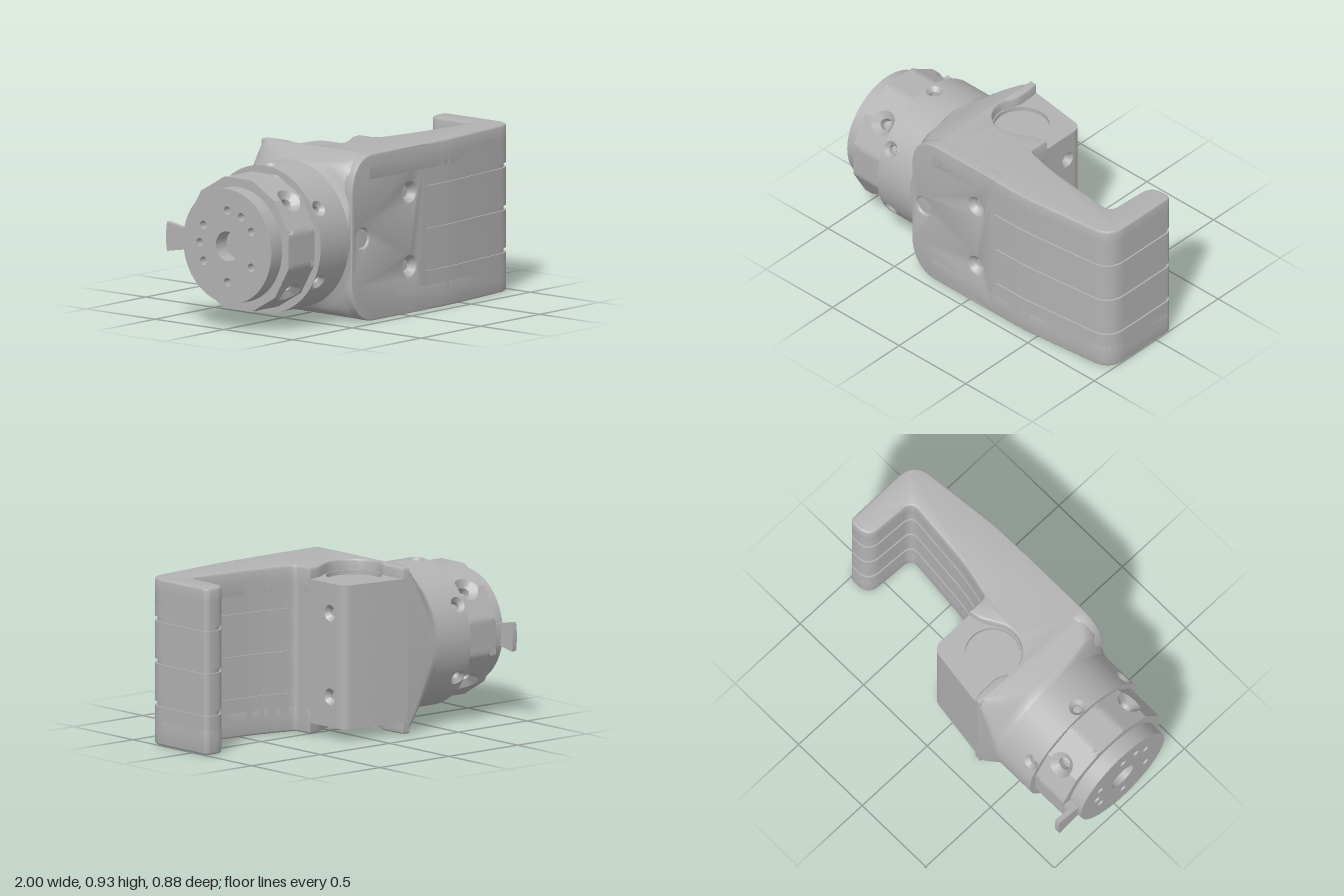
import * as THREE from 'three';
import { toCreasedNormals } from 'three/addons/utils/BufferGeometryUtils.js';

const CY = 0.467, CZ = 0.025; // axis of the round mount
const FRONT = 0.437, HEIGHT = 0.932;

export function createModel() {
  const group = new THREE.Group();
  const grey = new THREE.MeshStandardMaterial({ color: 0xb2b2b2, side: THREE.DoubleSide });
  grey.name = 'bodyGrey';

  const add = (name, geometry, crease = 0.6) => {
    const mesh = new THREE.Mesh(crease ? toCreasedNormals(geometry, crease) : geometry, grey);
    mesh.name = name;
    group.add(mesh);
    return mesh;
  };

  // Closed outline with corners [x, y, radius]
  function outline(points) {
    const shape = new THREE.Shape();
    const n = points.length;
    points.forEach(([x, y, r = 0], i) => {
      const p = new THREE.Vector2(x, y);
      const toward = (q) => p.clone().add(new THREE.Vector2(q[0] - x, q[1] - y).setLength(r));
      const a = r ? toward(points[(i + n - 1) % n]) : p;
      if (i) shape.lineTo(a.x, a.y); else shape.moveTo(a.x, a.y);
      if (r) {
        const b = toward(points[(i + 1) % n]);
        shape.quadraticCurveTo(x, y, b.x, b.y);
      }
    });
    return shape;
  }

  const hole = (x, y, r) => new THREE.Path().absarc(x, y, r, 0, Math.PI * 2, true);

  function extrude(shape, depth, bevel = 0) {
    return new THREE.ExtrudeGeometry(shape, {
      depth: depth - 2 * bevel, curveSegments: 16, bevelEnabled: bevel > 0, bevelSize: bevel,
      bevelThickness: bevel, bevelOffset: -bevel, bevelSegments: 3,
    }).translate(0, 0, bevel);
  }

  // Horizontal slab from a plan outline (x, z)
  const slab = (name, shape, y0, y1, bevel = 0) =>
    add(name, extrude(shape, y1 - y0, bevel).rotateX(Math.PI / 2).translate(0, y1, 0));

  // Plan of the hooked jaw; g is the groove depth
  const jawPoints = (g) => [
    [0.4, FRONT - g, 0.1], [1 - g, 0.375 - g, 0.12], [1 - g, -0.12 + g, 0.035],
    [0.855 + g, -0.12 + g, 0.085], [0.84 + g, 0.2 + g, 0.06], [0.37, 0.155 + g, 0.1],
    [0.21, 0.117 + g], [0.21, 0.117], [0.16, 0.105, 0.03],
  ];
  const corePlan = (g) => outline([
    [-0.27, 0.39], [0.19, 0.39], [0.19, FRONT - g], ...jawPoints(g),
    [0.16, -0.1], [0.12, -0.1], [0.12, -0.235], [0.16, -0.235], [0.16, -0.297, 0.06], [-0.27, -0.358],
  ]);

  // Core stacked in slices, thin ones forming the grip grooves
  const grooves = [0.23, 0.467, 0.705];
  const pocket = () => { const s = corePlan(0); s.holes.push(hole(-0.095, -0.09, 0.155)); return s; };
  slab('lowerPocketSlice', pocket(), 0.065, 0.09);
  slab('upperPocketSlice', pocket(), 0.845, 0.87);
  let y = 0.09;
  for (const gy of grooves) {
    slab('jawSlice', corePlan(0), y, gy - 0.0125);
    slab('gripGroove', corePlan(0.009), gy - 0.0125, gy + 0.0125);
    y = gy + 0.0125;
  }
  slab('jawSlice', corePlan(0), y, 0.845);

  // Raised lips above and below, cut back around the round pocket
  const arc = [];
  for (let i = 0; i <= 16; i++) {
    const a = THREE.MathUtils.degToRad(58 + (190 - 58) * i / 16);
    arc.push([-0.095 + 0.162 * Math.cos(a), -0.09 + 0.162 * Math.sin(a)]);
  }
  const lipPlan = outline([
    [-0.275, FRONT], ...jawPoints(0), [0.16, -0.02], [0.09, -0.01, 0.03], ...arc,
    [-0.22, -0.19, 0.03], [-0.22, -0.3, 0.03], [-0.23, -0.352], [-0.27, -0.357],
  ]);
  slab('upperLip', lipPlan, 0.78, HEIGHT, 0.012);
  slab('lowerLip', lipPlan, 0, 0.15, 0.012);

  // Countersunk screw seat, axis along y
  const seat = (r1, r2, depth) => new THREE.LatheGeometry([
    new THREE.Vector2(r1, 0), new THREE.Vector2(r2, -depth * 0.65), new THREE.Vector2(r2, -depth),
  ], 32);

  // Front plate with three screw holes
  const plate = new THREE.Shape();
  plate.moveTo(0.2, 0);
  plate.lineTo(0.2, HEIGHT);
  plate.lineTo(-0.24, HEIGHT);
  plate.quadraticCurveTo(-0.41, HEIGHT, -0.43, 0.73);
  plate.lineTo(-0.43, 0.2);
  plate.quadraticCurveTo(-0.41, 0, -0.24, 0);
  plate.closePath();
  // Straight right edge runs inside the jaw, so its bevel is trimmed by stopping at the grooves
  for (const [x, hy] of [[-0.34, 0.47], [0.055, 0.677], [0.055, 0.265]]) {
    plate.holes.push(hole(x, hy, 0.056));
    add('frontScrewSeat', seat(0.059, 0.035, 0.043).rotateX(Math.PI / 2).translate(x, hy, 0.433));
  }
  add('frontPlate', extrude(plate, 0.077, 0.008).translate(0, 0, 0.36));
  add('plateJoint', new THREE.BoxGeometry(0.04, 0.8, 0.046).translate(0.175, CY, FRONT - 0.023));

  // Side plate with two screw holes, facing the jaw
  const side = outline([[0.1, 0.065], [0.235, 0.065], [0.235, 0.87], [0.1, 0.87]]);
  for (const hy of [0.235, 0.703]) {
    side.holes.push(hole(0.185, hy, 0.046));
    add('sideScrewSeat', seat(0.046, 0.025, 0.04).rotateZ(-Math.PI / 2).translate(0.16, hy, -0.185));
  }
  add('sidePlate', extrude(side, 0.04).rotateY(Math.PI / 2).translate(0.12, 0, 0));

  // Grid of rows of points made into a surface closed along each row
  function loft(rows) {
    const n = rows[0].length, index = [];
    for (let i = 0; i < rows.length - 1; i++) for (let j = 0; j < n; j++) {
      const a = i * n + j, b = i * n + (j + 1) % n;
      index.push(a, b, a + n, b, b + n, a + n);
    }
    const geometry = new THREE.BufferGeometry();
    geometry.setAttribute('position', new THREE.Float32BufferAttribute(rows.flat(2), 3));
    geometry.setIndex(index);
    geometry.computeVertexNormals();
    return geometry;
  }

  // Shoulder blending the round neck into the rectangular body:
  // x, half height, front z, back z, front radius, back radius
  const shoulder = [
    [-0.45, 0.41, 0.435, -0.385, 0.41, 0.41], [-0.425, 0.412, 0.428, -0.383, 0.27, 0.38],
    [-0.40, 0.423, 0.425, -0.378, 0.12, 0.33], [-0.35, 0.443, 0.425, -0.371, 0.07, 0.22],
    [-0.30, 0.457, 0.425, -0.363, 0.04, 0.11], [-0.255, 0.465, 0.425, -0.357, 0.025, 0.03],
  ].map(([x, h, zf, zb, rf, rb]) => {
    const row = [];
    [[1, 1], [-1, 1], [-1, -1], [1, -1]].forEach(([sz, sy], q) => {
      const r = sz > 0 ? rf : rb;
      const cz = sz > 0 ? zf - r : zb + r;
      for (let k = 0; k <= 10; k++) {
        const a = (q + k / 10) * Math.PI / 2;
        row.push([x, CY + sy * (h - r) + r * Math.sin(a), cz + r * Math.cos(a)]);
      }
    });
    return row;
  });
  add('shoulder', loft(shoulder), 0.9);

  // Sector of a round wall with one countersunk hole through its middle
  function holedSector(x0, x1, xc, angle, width, R, radiusAt, r1, r2, depth) {
    const N = 18, edge = [], w = width * R / 2, rows = [];
    const corners = [[x0 - xc, -w], [x1 - xc, -w], [x1 - xc, w], [x0 - xc, w]];
    corners.forEach((c, i) => {
      const d = corners[(i + 1) % 4];
      for (let k = 0; k < N; k++) edge.push([c[0] + (d[0] - c[0]) * k / N, c[1] + (d[1] - c[1]) * k / N]);
    });
    const place = (u, v, sink) => {
      const a = angle + v / R, r = radiusAt(a) - sink;
      return [xc + u, CY + r * Math.sin(a), CZ + r * Math.cos(a)];
    };
    const circle = (r, sink) => edge.map(([u, v]) => {
      const l = Math.hypot(u, v);
      return place(u / l * r, v / l * r, sink);
    });
    for (let k = 0; k <= 12; k++) rows.push(edge.map(([u, v]) => {
      const l = Math.hypot(u, v), s = 1 + (r1 / l - 1) * k / 12;
      return place(u * s, v * s, 0);
    }));
    rows.push(circle(r2, depth * 0.5), circle(r2, depth), circle(0.001, depth));
    return loft(rows);
  }

  // Round neck with six screw holes
  for (let i = 0; i < 6; i++) {
    add('neckSector', holedSector(-0.69, -0.44, -0.643, Math.PI / 6 + i * Math.PI / 3, Math.PI / 3,
      0.41, () => 0.41, 0.046, 0.026, 0.05));
  }
  // Twelve-sided collar with four screw holes
  const step = Math.PI / 6;
  const facet = (a) => 0.367 / Math.cos(a - Math.round(a / step) * step);
  for (let i = 0; i < 4; i++) {
    add('collarSector', holedSector(-0.91, -0.69, -0.785, Math.PI / 4 + i * Math.PI / 2, Math.PI / 2,
      0.37, facet, 0.073, 0.036, 0.08), 0.45);
  }
  // End faces of the neck and collar
  const disc = (name, r, sides, x) => add(name,
    new THREE.CircleGeometry(r, sides, Math.PI / sides).rotateY(-Math.PI / 2).translate(x, CY, CZ));
  disc('neckStep', 0.41, 72, -0.69);
  disc('collarEnd', 0.367 / Math.cos(step / 2), 12, -0.91);

  // Flange with centre bore and bolt circle
  const flange = new THREE.Shape().absarc(0, 0, 0.32, 0, Math.PI * 2);
  flange.holes.push(hole(0, 0, 0.083));
  for (const deg of [90, 60, 30, 330, 270, 210, 180, 150]) {
    const a = THREE.MathUtils.degToRad(180 - deg);
    flange.holes.push(hole(0.2 * Math.cos(a), 0.2 * Math.sin(a), 0.024));
  }
  const flangeGeometry = new THREE.ExtrudeGeometry(flange, { depth: 0.09, bevelEnabled: false, curveSegments: 36 });
  add('flange', flangeGeometry.rotateY(Math.PI / 2).translate(-1, CY, CZ));

  // Key tab at the back of the flange, with its foot on the collar
  const tab = (name, r0, r1, x, depth) => {
    const s = new THREE.Shape();
    s.absarc(0, 0, r1, -0.175, 0.175, false);
    s.absarc(0, 0, r0, 0.175, -0.175, true);
    add(name, extrude(s, depth).rotateY(Math.PI / 2).translate(x, CY, CZ));
  };
  tab('keyTab', 0.31, 0.467, -0.975, 0.03);
  tab('keyTabFoot', 0.31, 0.367, -0.975, 0.07);

  return group;
}
